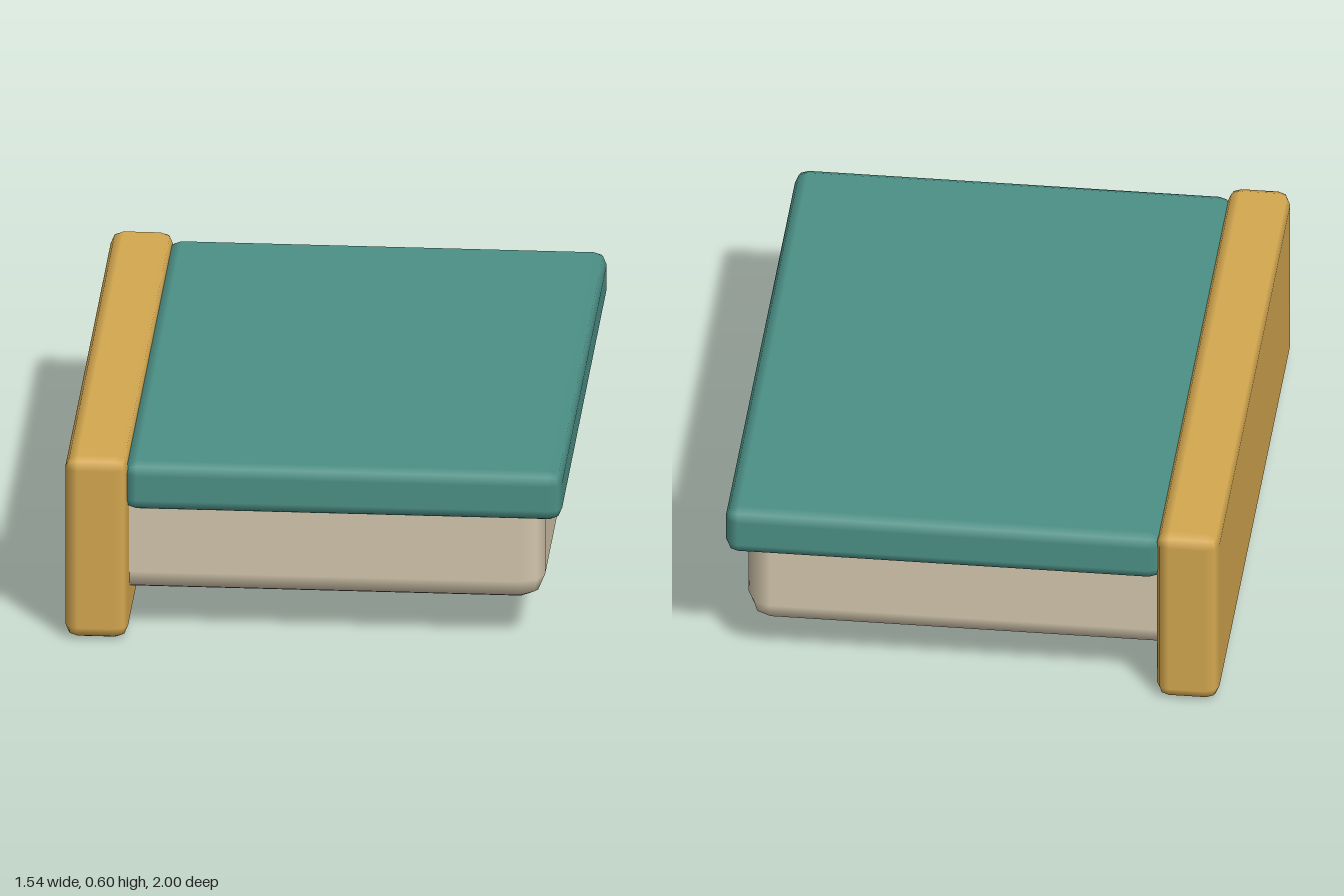
import * as THREE from 'three';
import { RoundedBoxGeometry } from 'three/addons/geometries/RoundedBoxGeometry.js';

const material = (name, color) => {
  const m = new THREE.MeshStandardMaterial({ color });
  m.name = name;
  return m;
};

// Softly rounded block given by its lower and upper corners
function block(name, min, max, radius, mat) {
  const size = max.map((v, i) => v - min[i]);
  const mesh = new THREE.Mesh(new RoundedBoxGeometry(...size, 1, radius), mat);
  mesh.position.set(...min.map((v, i) => (v + max[i]) / 2));
  mesh.name = name;
  return mesh;
}

export function createModel() {
  const group = new THREE.Group();
  group.name = 'roundedSlabModel';
  const gold = material('gold', 0xd4a850);
  const teal = material('teal', 0x4c9086);
  const beige = material('beige', 0xd4c7ad);

  group.add(
    // upright end board, standing on the ground
    block('endBoard', [-0.77, 0, -1], [-0.575, 0.6, 1], 0.04, gold),
    // flat slab on top
    block('topSlab', [-0.59, 0.42, -0.98], [0.77, 0.58, 0.98], 0.04, teal),
    // body hanging below the slab, let into the end board
    block('body', [-0.68, 0.125, -0.915], [0.71, 0.5, 0.915], 0.075, beige),
  );
  return group;
}
